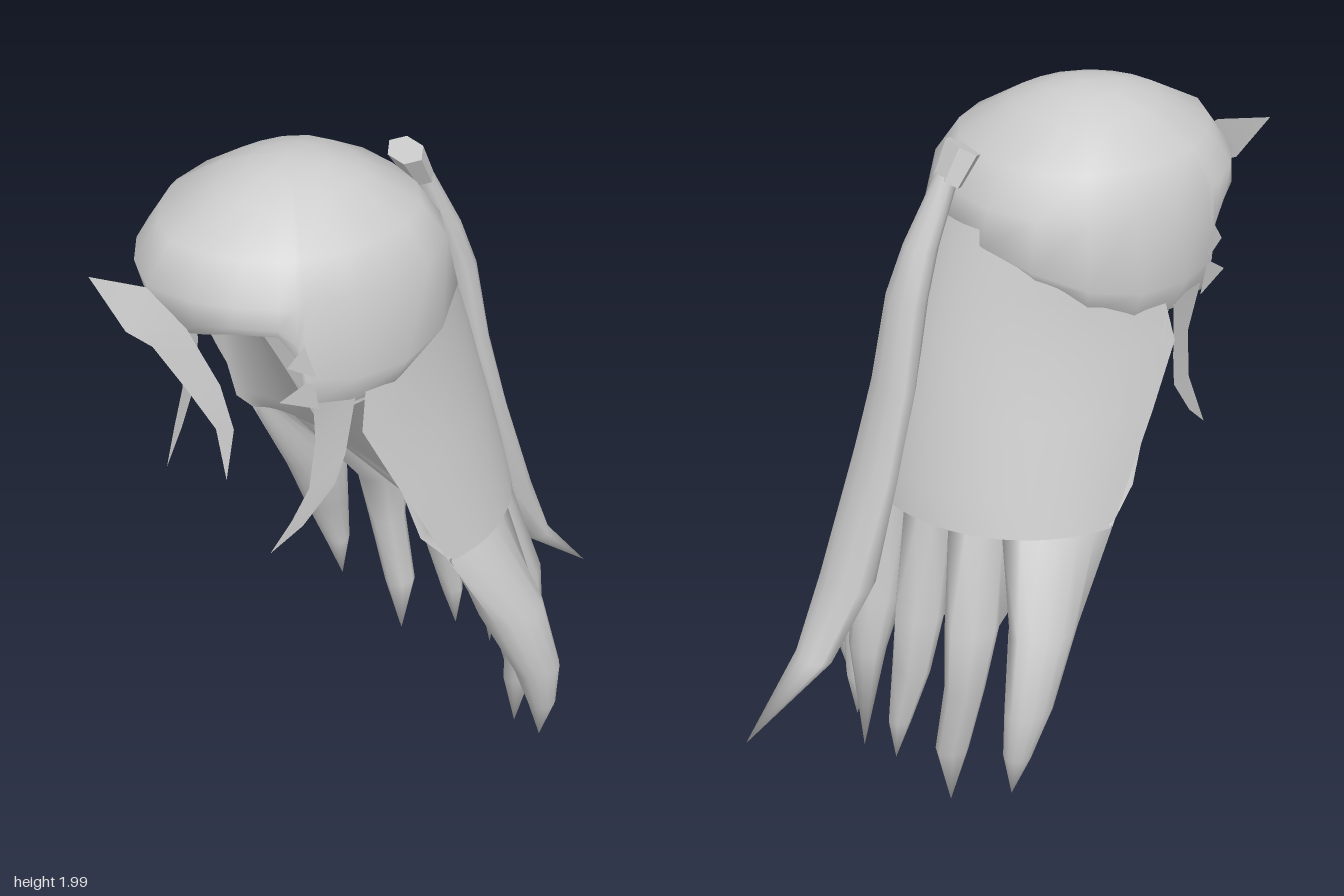
import * as THREE from 'three';
import { mergeVertices } from 'three/addons/utils/BufferGeometryUtils.js';

const hair = new THREE.MeshStandardMaterial({ color: 0xcccccc, side: THREE.DoubleSide });
hair.name = 'hair grey';

// Surface through rows of points; rows may be closed into rings
function loft(rows, closed = false) {
  const n = rows[0].length, pos = rows.flat(2), idx = [];
  for (let r = 0; r < rows.length - 1; r++) {
    for (let i = 0; i < (closed ? n : n - 1); i++) {
      const j = (i + 1) % n, a = r * n + i, b = r * n + j;
      idx.push(a, a + n, b, b, a + n, b + n);
    }
  }
  let g = new THREE.BufferGeometry();
  g.setAttribute('position', new THREE.Float32BufferAttribute(pos, 3));
  g.setIndex(idx);
  g = mergeVertices(g, 1e-4);
  g.computeVertexNormals();
  return g;
}

// Point of a horizontal ellipse, angle measured from the back toward +x
const onEllipse = ([x, y, z, hx, hz], a) => [x + hx * Math.sin(a), y, z - hz * Math.cos(a)];

// Tapered strand from horizontal ellipses [x, y, z, half width, half depth]
const strand = (sections, sides = 10) => loft(sections.map((s) =>
  Array.from({ length: sides }, (_, i) => onEllipse(s, (i / sides) * Math.PI * 2))), true);

// Half-ellipse row of the hair mass, open toward the front
const HALF = 14;
const arcAngle = (i) => (i / HALF - 1) * Math.PI / 2;
function arc(w, zFront, zBack, y) {
  return Array.from({ length: 2 * HALF + 1 }, (_, i) => {
    const a = arcAngle(i), s = Math.sin(a);
    const h = typeof y === 'function' ? y(Math.abs(s)) : y;
    return [w * s, h, zFront + (zBack - zFront) * Math.cos(a)];
  });
}

// Where the mass splits into locks
const outerEnd = arc(.46, .09, -.37, .9), innerEnd = arc(.46, .09, -.02, .91);

// Lock growing out of steps i0..i1 of the mass and narrowing to a tip
function lock(i0, i1, sections) {
  const n = i1 - i0, mid = arcAngle((i0 + i1) / 2);
  const root = [...outerEnd.slice(i0, i1 + 1), ...innerEnd.slice(i0, i1 + 1).reverse()];
  const rings = sections.map((s) => root.map((_, k) => {
    const back = k <= n, t = (back ? k : k - n - 1) / n - .5;
    return onEllipse(s, mid + t * 2.75 + (back ? 0 : Math.PI));
  }));
  return loft([root, ...rings], true);
}

const flip = ([x, ...rest]) => [-x, ...rest];

export function createModel() {
  const group = new THREE.Group();
  const add = (name, geometry) => {
    const m = new THREE.Mesh(geometry, hair);
    m.name = name;
    group.add(m);
    return m;
  };

  // Crown: angle from front, radius, hem height, middle and hem radius factors
  const half = [
    [0, .455, 1.61, .88, .82], [18, .43, 1.65, .92, .86], [34, .41, 1.69, .98, .95],
    [50, .395, 1.69, 1, .97], [57, .39, 1.62, 1, .97], [60, .385, 1.47, 1.02, .95],
    [80, .38, 1.46, 1.07, .95], [100, .38, 1.46, 1.09, .95], [120, .4, 1.5, 1.07, .92],
    [140, .42, 1.57, 1.04, .9], [160, .42, 1.62, 1.02, .9], [180, .41, 1.64, 1.02, .88],
  ];
  const columns = [...half, ...half.slice(1, -1).reverse().map(([a, ...r]) => [-a, ...r])];
  const crownRow = (fn) => columns.map(([deg, R, hem, mid, edge]) => {
    const a = THREE.MathUtils.degToRad(deg), [y, f] = fn(hem, mid, edge);
    return [R * f * Math.sin(a), y, .27 + R * f * Math.cos(a)];
  });
  const upper = [[2, 0], [1.985, .25], [1.955, .47], [1.87, .81], [1.77, .97]];
  add('crown', loft([
    ...upper.map((p) => crownRow(() => p)),
    crownRow((hem, mid) => [1.77 + (hem - 1.77) * .68, mid]),
    crownRow((hem, mid, edge) => [hem, edge]),
  ], true));

  // Long hair mass: outer sheet and the inside front face below the neck
  add('backHair', loft([
    arc(.34, .25, -.155, 1.71), arc(.36, .29, -.21, 1.55), arc(.385, .325, -.265, 1.38),
    arc(.415, .24, -.31, 1.2), arc(.445, .14, -.355, 1), outerEnd,
  ]));
  add('innerHair', loft([
    arc(.372, .31, .2, (s) => 1.17 + .3 * s ** 1.1), arc(.435, .17, .04, 1), innerEnd,
  ]));

  // Locks at the hair ends
  const sideLocks = [
    [8, 14, [[.465, .65, -.13, .077, .1], [.508, .43, -.2, .057, .07],
      [.5, .28, -.23, .04, .04], [.485, .14, -.24, 0, 0]]],
    [5, 8, [[.32, .62, -.27, .065, .08], [.33, .43, -.3, .05, .06],
      [.29, .2, -.32, .04, .05], [.28, .01, -.32, 0, 0]]],
    [2, 5, [[.15, .6, -.34, .075, .075], [.15, .42, -.37, .065, .055],
      [.13, .23, -.4, .035, .035], [.12, .09, -.41, 0, 0]]],
  ];
  for (const [i0, i1, sections] of sideLocks) {
    add('leftLock', lock(HALF + i0, HALF + i1, sections));
    add('rightLock', lock(HALF - i1, HALF - i0, sections.map(flip)));
  }
  add('centreLock', lock(HALF - 2, HALF + 2, [[0, .6, -.39, .08, .075],
    [0, .42, -.43, .065, .05], [0, .07, -.45, 0, 0]]));

  // Thin locks and ragged points framing the face
  const faceLock = [
    [[.33, 1.5, .44], [.365, 1.49, .33]], [[.31, 1.35, .42], [.345, 1.3, .35]],
    [[.3, 1.2, .435], [.325, 1.2, .37]], [[.28, 1.1, .48], [.29, 1.08, .45]],
    [[.25, 1, .53], [.25, 1, .53]],
  ];
  const points = [
    [[[.34, 1.67, .47], [.35, 1.57, .44]], [[.32, 1.61, .51], [.32, 1.61, .51]]],
    [[[.345, 1.57, .45], [.345, 1.47, .43]], [[.31, 1.51, .53], [.31, 1.51, .53]]],
  ];
  for (const [side, map] of [['left', (p) => p], ['right', flip]]) {
    add(side + 'FaceLock', loft(faceLock.map((r) => r.map(map))));
    for (const p of points) add(side + 'HairPoint', loft(p.map((r) => r.map(map))));
  }

  // Loose curved fringe strand
  add('fringeStrand', loft([
    [[-.08, 1.8, .83], [-.08, 1.8, .83]], [[.02, 1.78, .725], [0, 1.66, .78]],
    [[.12, 1.69, .675], [.06, 1.63, .74]], [[.18, 1.53, .62], [.13, 1.52, .69]],
    [[.205, 1.4, .6], [.175, 1.4, .635]], [[.2, 1.25, .625], [.2, 1.25, .625]],
  ]));

  // Ponytail and its tie
  add('ponytail', strand([
    [0, 1.83, -.15, .035, .03], [0, 1.64, -.235, .055, .045], [0, 1.5, -.28, .075, .05],
    [0, 1.25, -.325, .09, .05], [0, 1, -.39, .105, .05], [0, .67, -.485, .1, .07],
    [0, .45, -.595, .07, .05], [0, .22, -.825, 0, 0],
  ]));
  const tie = add('hairTie', new THREE.CylinderGeometry(.07, .055, .1, 6).toNonIndexed());
  tie.geometry.rotateY(Math.PI / 6);
  tie.geometry.computeVertexNormals();
  tie.scale.z = .6;
  tie.rotation.x = .5;
  tie.position.set(0, 1.85, -.128);

  return group;
}
